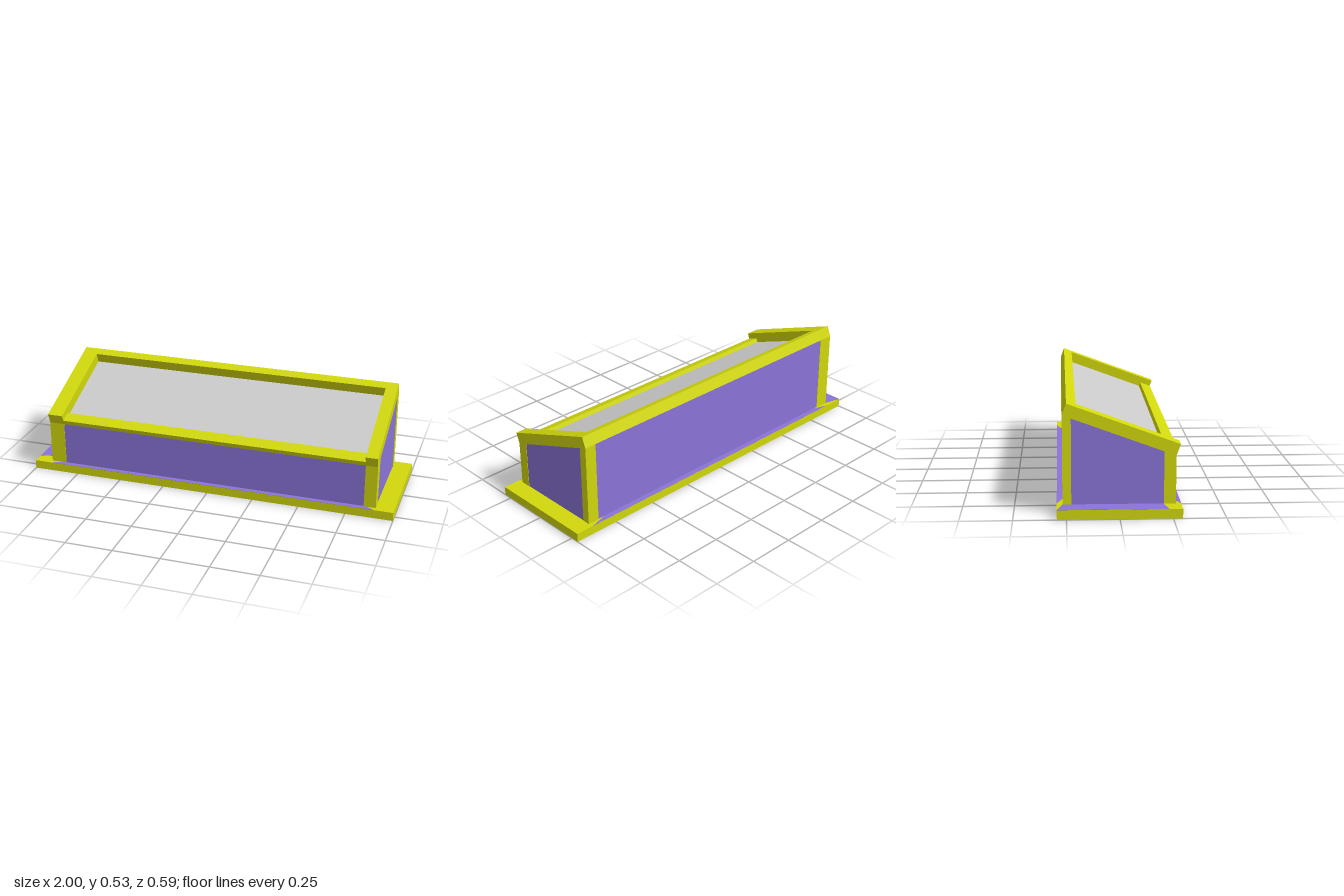
import * as THREE from 'three';

const YELLOW = new THREE.MeshStandardMaterial({ color: 0xd2d80c, flatShading: true });
const PURPLE = new THREE.MeshStandardMaterial({ color: 0x8a74d8, flatShading: true });
const GREY = new THREE.MeshStandardMaterial({ color: 0xcccccc, flatShading: true });

// Main dimensions
const BASE_TOP = 0.047, FRONT = 0.27, BACK = -0.268;
const X0 = -0.908, X1 = 0.905;    // outer ends of the body
const IN0 = -0.825, IN1 = 0.842;  // inner edges of the end rails
const SLOPE = 0.368, THICK = 0.059;
const eave = z => 0.28 + SLOPE * (FRONT - z);  // underside of the sloping lid

// Extrudes a [z, y] outline along x
function prism(name, outline, x0, x1, material) {
  const shape = new THREE.Shape(outline.map(([z, y]) => new THREE.Vector2(-z, y)));
  const geometry = new THREE.ExtrudeGeometry(shape, { depth: x1 - x0, bevelEnabled: false });
  geometry.rotateY(Math.PI / 2).translate(x0, 0, 0);
  const mesh = new THREE.Mesh(geometry, material);
  mesh.name = name;
  return mesh;
}

// Upright bar or block whose top follows the slope
const upright = (name, z0, z1, x0, x1, material) => prism(name,
  [[z0, BASE_TOP], [z0, eave(z0)], [z1, eave(z1)], [z1, BASE_TOP]], x0, x1, material);

// Lid bar lying on the slope, running from z0 back to z1, with ends square to the slope
function lidBar(name, z0, z1, x0, x1, thick, material) {
  const len = Math.hypot(1, SLOPE);
  const dz = thick * SLOPE / len, dy = thick / len;
  return prism(name, [[z0, eave(z0)], [z0 + dz, eave(z0) + dy],
    [z1 + dz, eave(z1) + dy], [z1, eave(z1)]], x0, x1, material);
}

// Thin flat panel on the base, given as [x, z] corners
function panel(name, corners, y) {
  const shape = new THREE.Shape(corners.map(([x, z]) => new THREE.Vector2(x, -z)));
  const geometry = new THREE.ExtrudeGeometry(shape, { depth: 0.001, bevelEnabled: false });
  geometry.rotateX(-Math.PI / 2).translate(0, y, 0);
  const mesh = new THREE.Mesh(geometry, PURPLE);
  mesh.name = name;
  return mesh;
}

export function createModel() {
  const model = new THREE.Group();
  model.name = 'slopedCase';

  // Base slab
  const base = new THREE.Mesh(new THREE.BoxGeometry(2, BASE_TOP - 0.001, 0.59), YELLOW);
  base.position.y = (BASE_TOP + 0.001) / 2;
  base.name = 'base';
  model.add(base);

  // Coloured panels on the top and underside of the base
  model.add(
    panel('baseFrontStrip', [[-0.9, 0.295], [0.9, 0.295], [0.84, 0.26], [-0.83, 0.26]], BASE_TOP),
    panel('baseBackStrip', [[-0.88, -0.295], [-0.78, -0.26], [0.78, -0.26], [0.9, -0.295]], BASE_TOP),
    panel('baseEndStrip', [[-1, -0.295], [-1, 0.23], [-0.9, 0.21], [-0.9, -0.268]], BASE_TOP),
    panel('baseUnderside', [[-0.82, -0.235], [-0.82, 0.2], [0.82, 0.24], [0.82, -0.235]], 0),
    panel('baseUndersideEnd', [[0.91, -0.23], [0.91, 0.24], [0.98, 0.24], [0.98, -0.28]], 0),
  );

  // Walls of the case
  model.add(upright('walls', FRONT - 0.002, BACK + 0.002, X0 + 0.002, X1 - 0.002, PURPLE));

  // Corner posts
  for (const [a, b] of [[X0, IN0], [IN1, X1]]) {
    model.add(upright('frontPost', FRONT, 0.213, a, b, YELLOW));
    model.add(upright('backPost', -0.226, BACK, a, b, YELLOW));
    // End rails of the lid
    model.add(lidBar('endRail', FRONT, BACK, a, b, THICK, YELLOW));
  }

  // Low front rail, full-height back rail and the pane between them
  model.add(
    lidBar('frontRail', FRONT, 0.211, IN0, IN1, 0.026, YELLOW),
    lidBar('backRail', -0.222, BACK, IN0, IN1, THICK, YELLOW),
    lidBar('pane', 0.212, -0.223, IN0, IN1, 0.003, GREY),
  );
  return model;
}
